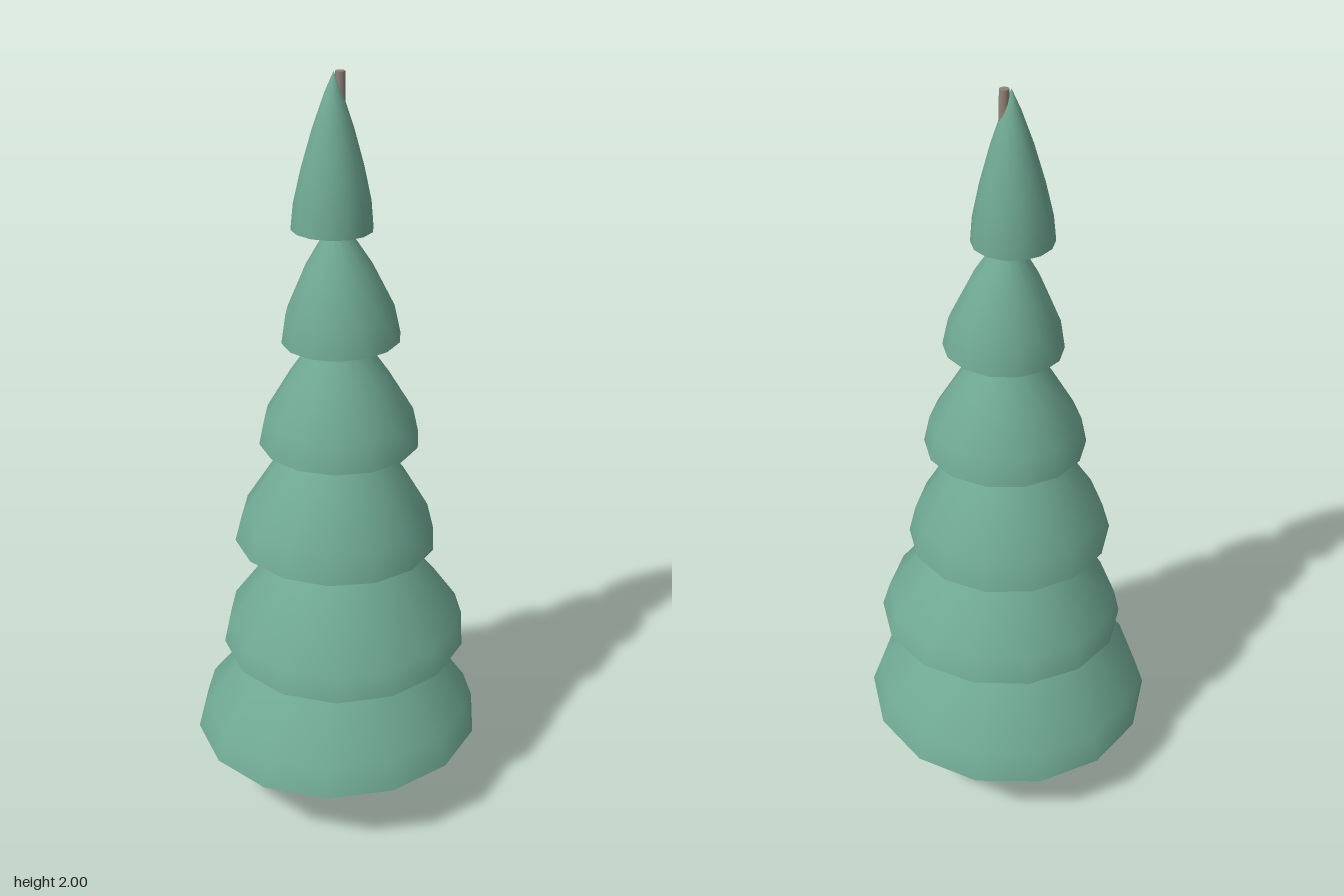
import * as THREE from 'three';

const SIDES = 14;

// Each tier: rim centre, tilt about x and z, and a [radius, height above rim] profile
const TIERS = [
  { at: [0, 0.19, 0], tilt: [0, 0.03], profile: [[0.395, 0], [0.37, 0.075], [0.285, 0.18], [0.2, 0.28], [0.09, 0.34], [0, 0.36]] },
  { at: [0.013, 0.475, -0.015], tilt: [0.06, -0.015], profile: [[0.333, 0], [0.315, 0.065], [0.235, 0.175], [0.15, 0.285], [0.07, 0.33], [0, 0.35]] },
  { at: [-0.01, 0.767, -0.004], tilt: [-0.02, -0.01], profile: [[0.27, 0], [0.25, 0.075], [0.18, 0.19], [0.105, 0.29], [0.05, 0.33], [0, 0.35]] },
  { at: [-0.003, 1.055, -0.012], tilt: [0.01, 0], profile: [[0.21, 0], [0.195, 0.07], [0.13, 0.18], [0.065, 0.275], [0.04, 0.31], [0, 0.33]] },
  { at: [0.003, 1.338, -0.012], tilt: [0.03, 0.02], profile: [[0.152, 0], [0.138, 0.075], [0.085, 0.19], [0.03, 0.28], [0.02, 0.3], [0, 0.32]] },
  { at: [-0.01, 1.625, 0.007], tilt: [-0.015, 0], profile: [[0.102, 0], [0.096, 0.065], [0.077, 0.15], [0.05, 0.245], [0.022, 0.325], [0, 0.375]] },
];

function createTier({ at, tilt, profile }, index, material) {
  const tier = new THREE.Group();
  tier.name = `branchTier${index + 1}`;

  const points = profile.map(([r, y]) => new THREE.Vector2(r, y));
  const skirt = new THREE.Mesh(new THREE.LatheGeometry(points, SIDES, Math.PI / 2), material);
  skirt.name = 'foliage';

  // Flat underside, separate so that the rim stays sharp
  const base = new THREE.Mesh(new THREE.CircleGeometry(profile[0][0], SIDES), material);
  base.name = 'underside';
  base.rotation.x = Math.PI / 2;

  tier.add(skirt, base);
  tier.position.set(...at);
  tier.rotation.set(tilt[0], 0, tilt[1]);
  return tier;
}

export function createModel() {
  const tree = new THREE.Group();
  tree.name = 'firTree';
  const green = new THREE.MeshStandardMaterial({ color: 0x6fa893, side: THREE.DoubleSide });
  const brown = new THREE.MeshStandardMaterial({ color: 0x8f8378 });

  // Tapered trunk running through all tiers and showing behind the tip
  const trunk = new THREE.Mesh(new THREE.CylinderGeometry(0.012, 0.039, 2, 12), brown);
  trunk.name = 'trunk';
  trunk.position.set(-0.001, 1, -0.012);
  tree.add(trunk);

  TIERS.forEach((tier, i) => tree.add(createTier(tier, i, green)));
  return tree;
}
